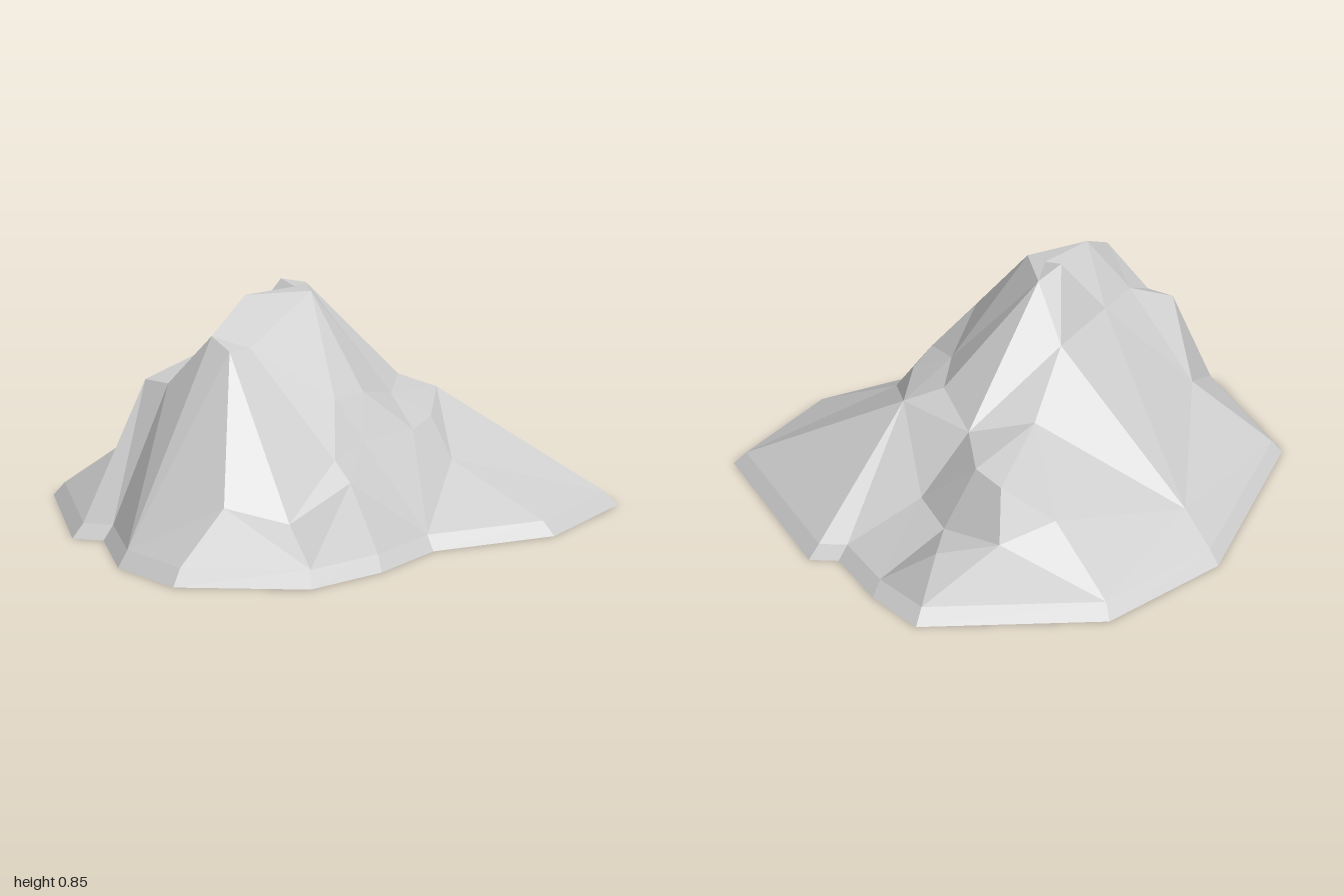
import * as THREE from 'three';

// Ground outline [x, z], running from the back round by +x to the front
const outline = [
  [0.02, -0.92], [0.51, -0.84], [0.98, -0.39], [0.98, -0.17], [0.93, 0.07], [1, 0.15],
  [0.82, 0.83], [0.35, 0.92], [-0.09, 0.76], [-0.37, 0.8], [-0.65, 0.77], [-0.97, 0.47],
  [-1, 0.2], [-0.88, -0.07], [-0.95, -0.16], [-0.72, -0.66],
];

// Corners of the rock [x, y, z], grouped by feature
const summit = [
  [-0.09, 0.845, -0.05], [0.03, 0.82, -0.05], [-0.09, 0.825, 0.03], [-0.09, 0.82, 0.12],
  [-0.33, 0.82, 0.04], [-0.54, 0.71, 0.12], [-0.54, 0.67, 0.22], [-0.45, 0.67, 0.22],
];
const backSlope = [
  [-0.26, 0.62, -0.12], [0.07, 0.63, -0.2], [0.3, 0.45, -0.29], [-0.02, 0.13, -0.73],
];
const gully = [
  [-0.46, 0.61, -0.07], [-0.64, 0.53, -0.14], [-0.62, 0.53, -0.03], [-0.52, 0.28, -0.35],
];
const sideLedge = [
  [0.36, 0.45, 0.11], [0.47, 0.4, 0.21], [0.45, 0.4, -0.11], [0.6, 0.41, -0.3],
  [0.6, 0.39, -0.42], [0.49, 0.27, -0.57], [0.65, 0.2, -0.07], [0.71, 0.19, -0.25],
  [0.67, 0.22, -0.48], [0.85, 0.22, -0.36],
];
const frontShelf = [
  [0.17, 0.43, 0.27], [0.24, 0.36, 0.41], [0.07, 0.35, 0.49], [0.23, 0.22, 0.53],
  [-0.2, 0.36, 0.52], [-0.25, 0.5, 0.43], [-0.1, 0.5, 0.41], [-0.39, 0.34, 0.59],
  [-0.37, 0.27, 0.645], [-0.57, 0.15, 0.57], [-0.74, 0.21, 0.44],
];

const toVector = (p) => new THREE.Vector3(...p);

// Twice the signed area seen from above; positive when the face looks up
const turn = (a, b, c) => (b.z - a.z) * (c.x - a.x) - (b.x - a.x) * (c.z - a.z);

function inside(x, z, loop) {
  let hit = false;
  loop.forEach((a, i) => {
    const b = loop[(i + 1) % loop.length];
    if ((a.z > z) !== (b.z > z) && x < a.x + ((z - a.z) * (b.x - a.x)) / (b.z - a.z)) hit = !hit;
  });
  return hit;
}

// True when d lies within the circle through a, b and c, seen from above
function inCircle(a, b, c, d) {
  const [p, q, r] = [a, b, c].map((v) => {
    const x = v.x - d.x, z = v.z - d.z;
    return new THREE.Vector3(x, z, x * x + z * z);
  });
  return p.dot(q.cross(r)) * turn(a, b, c) < -1e-12;
}

// Joins scattered corners into the facets whose circles hold no other corner
function facets(points, loop) {
  const faces = [];
  const n = points.length;
  for (let i = 0; i < n; i++) for (let j = i + 1; j < n; j++) for (let k = j + 1; k < n; k++) {
    const a = points[i], b = points[j], c = points[k];
    const area = turn(a, b, c);
    if (Math.abs(area) < 1e-6) continue;
    if (!inside((a.x + b.x + c.x) / 3, (a.z + b.z + c.z) / 3, loop)) continue;
    if (points.some((d) => d !== a && d !== b && d !== c && inCircle(a, b, c, d))) continue;
    faces.push(...(area > 0 ? [a, b, c] : [a, c, b]));
  }
  return faces;
}

function makeMesh(name, corners, material) {
  const geometry = new THREE.BufferGeometry().setFromPoints(corners);
  geometry.computeVertexNormals();
  const mesh = new THREE.Mesh(geometry, material);
  mesh.name = name;
  return mesh;
}

export function createModel() {
  const group = new THREE.Group();
  group.name = 'rock';
  const stone = new THREE.MeshStandardMaterial({ color: 0xcccccc, flatShading: true });

  const ground = outline.map(([x, z]) => new THREE.Vector3(x, 0, z));
  const rim = outline.map(([x, z]) => new THREE.Vector3(x * 0.955, 0.05, z * 0.955));

  // Bevelled foot around the ground outline
  const foot = [];
  ground.forEach((a, i) => {
    const j = (i + 1) % ground.length;
    foot.push(a, rim[i], ground[j], ground[j], rim[i], rim[j]);
  });
  group.add(makeMesh('foot', foot, stone));

  // Faceted body from the rim to the summit
  const corners = [summit, backSlope, gully, sideLedge, frontShelf].flat().map(toVector);
  group.add(makeMesh('rockBody', facets([...rim, ...corners], rim), stone));

  // Flat underside
  const flat = outline.map(([x, z]) => new THREE.Vector2(x, z));
  const under = THREE.ShapeUtils.triangulateShape(flat, []).flatMap((t) => {
    const [a, b, c] = t.map((i) => ground[i]);
    return turn(a, b, c) < 0 ? [a, b, c] : [a, c, b];
  });
  group.add(makeMesh('underside', under, stone));
  return group;
}
